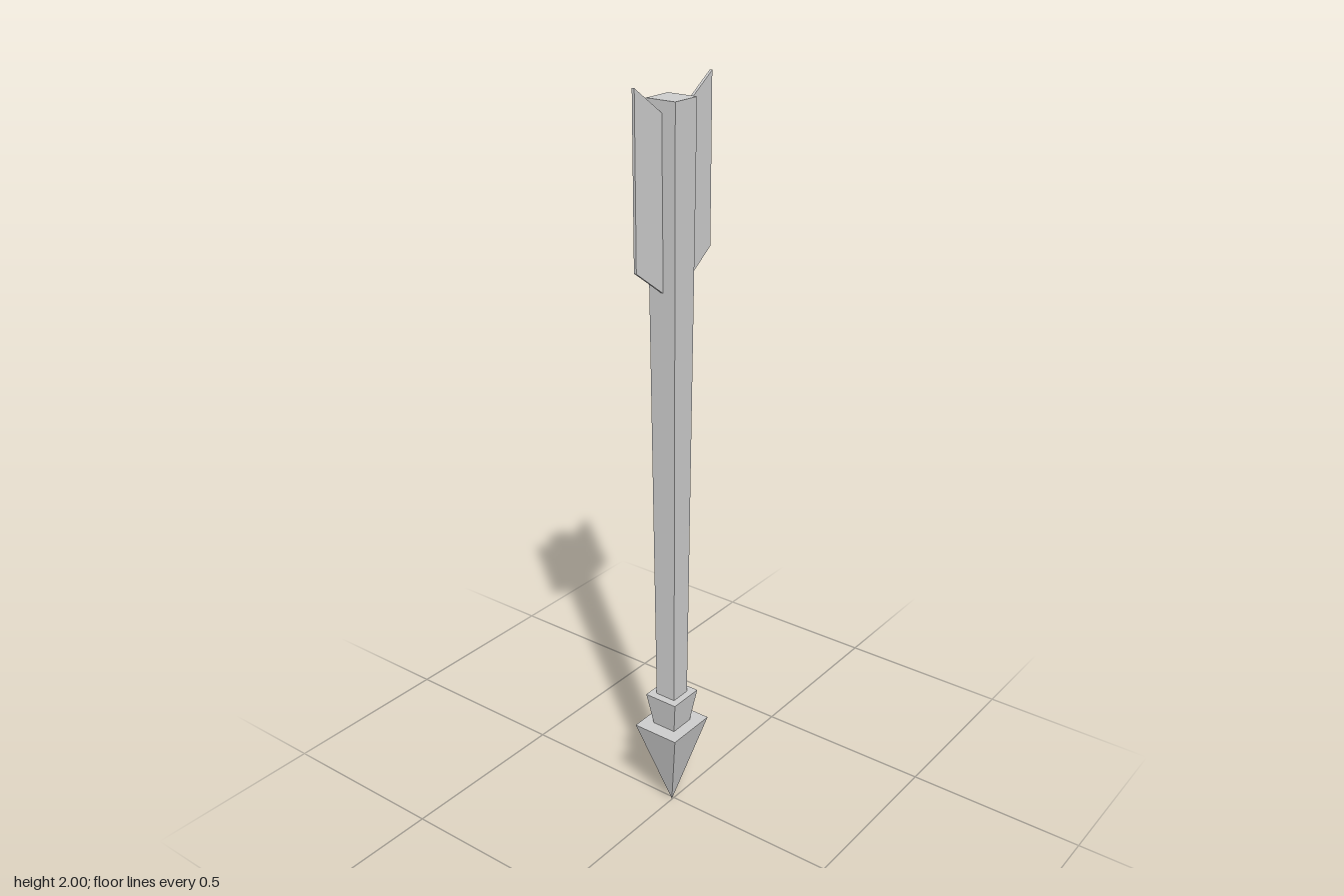
import * as THREE from 'three';

const material = new THREE.MeshStandardMaterial({ color: 0xcccccc, flatShading: true });
const CX = -0.0075, CZ = -0.0015; // axis of the arrow

// Four-sided tapered block between two heights; widths along x, depth is a ratio of width
function taper(name, y0, y1, bottomWidth, topWidth, depthRatio) {
  const geo = new THREE.CylinderGeometry(
    topWidth * Math.SQRT1_2, bottomWidth * Math.SQRT1_2, y1 - y0, 4, 1, false, Math.PI / 4);
  geo.scale(1, 1, depthRatio);
  geo.translate(CX, (y0 + y1) / 2, CZ);
  const mesh = new THREE.Mesh(geo, material);
  mesh.name = name;
  return mesh;
}

// Thin slanted vane, given by its inner and outer edges
function vane(name, inner, outer, innerLow, innerHigh) {
  const shape = new THREE.Shape([
    new THREE.Vector2(inner, innerLow),
    new THREE.Vector2(outer, 1.58),
    new THREE.Vector2(outer, 2.0),
    new THREE.Vector2(inner, innerHigh),
  ]);
  const geo = new THREE.ExtrudeGeometry(shape, { depth: 0.007, bevelEnabled: false });
  geo.translate(0, 0, CZ - 0.0035);
  const mesh = new THREE.Mesh(geo, material);
  mesh.name = name;
  return mesh;
}

export function createModel() {
  const arrow = new THREE.Group();
  arrow.name = 'arrow';
  arrow.add(
    taper('arrowhead', 0, 0.265, 0, 0.15, 0.9),
    taper('collar', 0.265, 0.36, 0.072, 0.101, 0.97),
    taper('shaft', 0.35, 1.96, 0.058, 0.082, 1.02),
    vane('leftVane', 0.031, 0.144, 1.5, 1.925),
    vane('rightVane', -0.046, -0.146, 1.508, 1.93),
  );
  return arrow;
}
